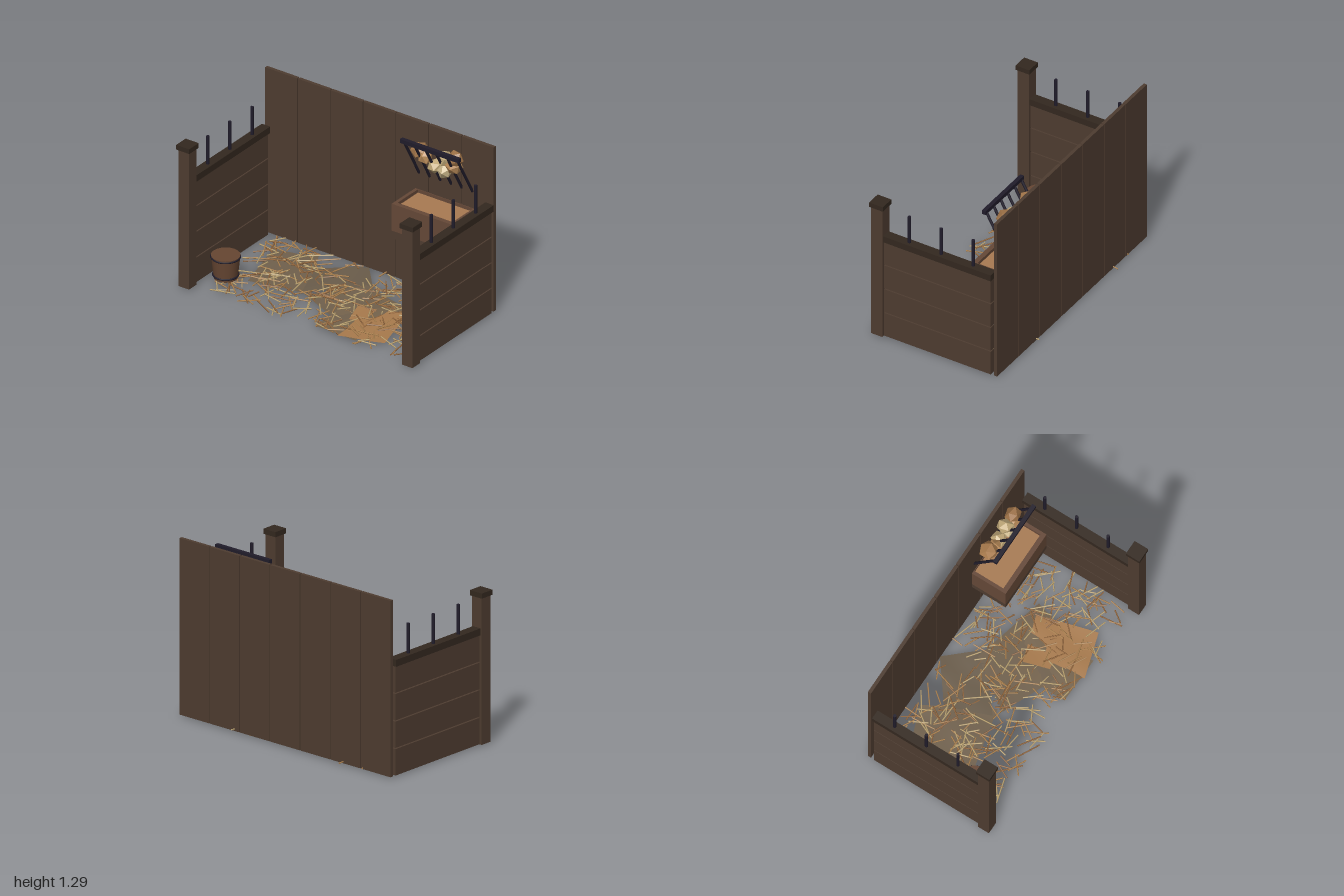
import * as THREE from 'three';
import { mergeGeometries } from 'three/addons/utils/BufferGeometryUtils.js';

const mat = (color, extra = {}) => new THREE.MeshStandardMaterial({ color, ...extra });
const WOOD = mat(0x4e3c30), DARK = mat(0x33281f), IRON = mat(0x201c2a);
const TROUGH = mat(0x654837), FEED = mat(0xa87a52), BUCKET = mat(0x664632);

function add(parent, name, geometry, material, x = 0, y = 0, z = 0) {
  const mesh = new THREE.Mesh(geometry, material);
  mesh.name = name;
  mesh.position.set(x, y, z);
  parent.add(mesh);
  return mesh;
}

// Box given by its minimum and maximum corners
function box(parent, name, material, [x0, y0, z0], [x1, y1, z1]) {
  return add(parent, name, new THREE.BoxGeometry(x1 - x0, y1 - y0, z1 - z0), material,
    (x0 + x1) / 2, (y0 + y1) / 2, (z0 + z1) / 2);
}

// Round bar between two points
function bar(parent, name, material, a, b, radius) {
  const from = new THREE.Vector3(...a), to = new THREE.Vector3(...b);
  const dir = to.clone().sub(from);
  const mesh = add(parent, name, new THREE.CylinderGeometry(radius, radius, dir.length(), 8), material);
  mesh.position.copy(from).add(to).multiplyScalar(0.5);
  mesh.quaternion.setFromUnitVectors(new THREE.Vector3(0, 1, 0), dir.normalize());
}

function seeded(seed) {
  return () => {
    seed = (seed * 16807) % 2147483647;
    return seed / 2147483647;
  };
}

function group(parent, name) {
  const g = new THREE.Group();
  g.name = name;
  parent.add(g);
  return g;
}

// Gently uneven sheet stretched between four floor corners [x, z]
function matGeometry(corners, height) {
  const [a, b, c, d] = corners.map(([x, z]) => new THREE.Vector3(x, height, z));
  const geo = new THREE.PlaneGeometry(1, 1, 5, 5);
  const pos = geo.attributes.position, p = new THREE.Vector3(), q = new THREE.Vector3();
  for (let i = 0; i < pos.count; i++) {
    const u = pos.getX(i) + 0.5, v = 0.5 - pos.getY(i);
    p.lerpVectors(a, b, u);
    q.lerpVectors(d, c, u);
    p.lerp(q, v);
    p.y += 0.004 * Math.sin(u * 5 + p.x * 9) * Math.cos(v * 4);
    pos.setXYZ(i, p.x, p.y, p.z);
  }
  geo.computeVertexNormals();
  return geo;
}

export function createModel() {
  const model = new THREE.Group();
  model.name = 'stableStall';

  // Back wall of upright planks
  const wall = group(model, 'backWall');
  for (let i = 0; i < 7; i++) {
    const x = (i - 3) * 0.277;
    box(wall, 'wallPlank', WOOD, [x - 0.135, 0.02, -0.48], [x + 0.135, 1.3, -0.455]);
  }

  // Side partitions: post, cap, boards, rail and iron rods
  for (const [side, name] of [[-1, 'rightPartition'], [1, 'leftPartition']]) {
    const part = group(model, name);
    part.position.x = side * 0.945;
    box(part, 'post', WOOD, [-0.045, 0.02, 0.43], [0.045, 1.09, 0.52]);
    box(part, 'postCap', DARK, [-0.055, 1.085, 0.42], [0.055, 1.122, 0.53]);
    for (let i = 0; i < 4; i++) {
      const y = 0.02 + i * 0.2;
      box(part, 'sideBoard', WOOD, [-0.023, y, -0.43], [0.023, y + 0.191, 0.43]);
    }
    box(part, 'topRail', DARK, [-0.035, 0.813, -0.437], [0.035, 0.863, 0.43]);
    for (const z of [0.24, -0.017, -0.275])
      bar(part, 'ironRod', IRON, [0, 0.86, z], [0, 1.08, z], 0.012);
  }

  // Feed trough
  const trough = group(model, 'feedTrough');
  box(trough, 'troughBase', WOOD, [0.305, 0.5, -0.47], [0.82, 0.56, -0.18]);
  box(trough, 'troughFront', TROUGH, [0.305, 0.56, -0.215], [0.82, 0.77, -0.18]);
  for (const x of [0.305, 0.795])
    box(trough, 'troughEnd', TROUGH, [x, 0.56, -0.47], [x + 0.025, 0.77, -0.215]);
  box(trough, 'troughBack', TROUGH, [0.33, 0.56, -0.47], [0.795, 0.77, -0.45]);
  box(trough, 'feed', FEED, [0.33, 0.56, -0.45], [0.795, 0.745, -0.215]);

  // Slanted hay rack
  const rack = group(model, 'hayRack');
  box(rack, 'rackBar', IRON, [0.315, 1.212, -0.29], [0.81, 1.242, -0.26]);
  for (let i = 0; i < 6; i++) {
    const x = 0.335 + i * 0.09;
    bar(rack, 'rackRod', IRON, [x, 1.23, -0.275], [x, 0.9, -0.457], 0.01);
  }
  const lumps = [
    [0.4, 1.13, -0.38, 0.07, 0xa87a4c], [0.45, 1.1, -0.37, 0.06, 0xb88a58],
    [0.53, 1.05, -0.38, 0.06, 0xc0a878], [0.61, 1.13, -0.38, 0.065, 0xc0a878],
    [0.62, 1.05, -0.37, 0.065, 0xc8b488], [0.7, 1.16, -0.375, 0.065, 0x9c7045],
    [0.69, 1.1, -0.375, 0.065, 0xb88a58],
  ];
  lumps.forEach(([x, y, z, r, color], i) => {
    const lump = add(rack, 'hayLump', new THREE.IcosahedronGeometry(r, 0),
      mat(color, { flatShading: true }), x, y, z);
    lump.scale.y = 0.85;
    lump.rotation.set(i * 1.3, i * 0.9, i * 0.4);
  });

  // Bucket with iron hoops
  const bucket = group(model, 'bucket');
  bucket.position.set(-0.775, 0, 0.265);
  add(bucket, 'bucketBody', new THREE.CylinderGeometry(0.102, 0.083, 0.175, 20), BUCKET, 0, 0.133, 0);
  for (const [y, r] of [[0.208, 0.1], [0.07, 0.088]]) {
    const hoop = add(bucket, 'hoop', new THREE.TorusGeometry(r, 0.007, 6, 24), IRON, 0, y, 0);
    hoop.rotation.x = Math.PI / 2;
  }

  // Flattened patches of bedding
  const bedding = group(model, 'bedding');
  const patches = [
    [0x70604c, [[-0.77, -0.27], [-0.46, -0.38], [-0.2, 0.08], [-0.65, 0.18]]],
    [0x6a5c4a, [[-0.38, -0.24], [-0.09, -0.46], [0.11, -0.23], [-0.26, 0.08]]],
    [0x70604c, [[0.05, -0.24], [0.6, -0.1], [0.45, 0.4], [-0.2, 0.12]]],
    [0x75634c, [[0.1, 0.05], [0.45, -0.08], [0.45, 0.44], [0.1, 0.43]]],
    [0xa87a4c, [[0.18, 0.04], [0.52, -0.07], [0.64, 0.36], [0.31, 0.46]]],
  ];
  patches.forEach(([color, corners], i) => add(bedding, 'beddingPatch',
    matGeometry(corners, 0.02 + i * 0.002), mat(color, { side: THREE.DoubleSide })));

  // Loose straw scattered over the floor
  const rnd = seeded(4217);
  for (const color of [0xb08552, 0x94683f, 0xbfa673]) {
    const stalks = [];
    for (let i = 0; i < 125; i++) {
      const length = 0.08 + rnd() * 0.12;
      const stalk = new THREE.CylinderGeometry(0.005, 0.005, length, 5);
      stalk.rotateZ(Math.PI / 2 + (rnd() - 0.5) * 0.16);
      stalk.rotateY(rnd() * Math.PI * 2);
      stalk.translate(-0.83 + rnd() * 1.7, 0.02 + rnd() * 0.016, -0.43 + rnd() * 0.86);
      stalks.push(stalk);
    }
    add(bedding, 'looseStraw', mergeGeometries(stalks), mat(color));
  }

  return model;
}
